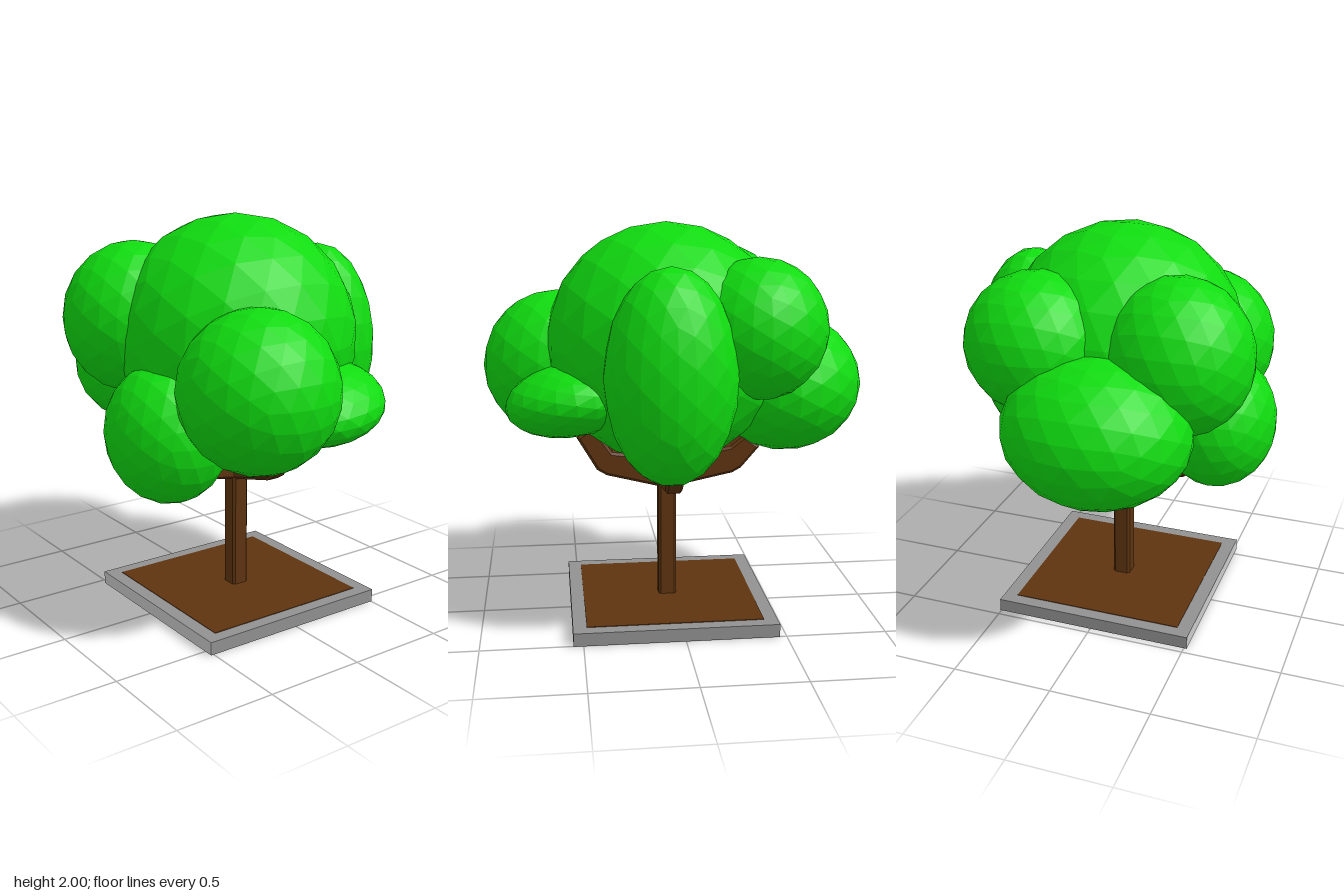
import * as THREE from 'three';

const material = (name, color, flatShading = false) => {
  const m = new THREE.MeshStandardMaterial({ color, flatShading });
  m.name = name;
  return m;
};

export function createModel() {
  const leafGreen = material('leaf green', 0x10dc10, true);
  const barkBrown = material('bark brown', 0x5e3410, true);
  const kerbGrey = material('kerb grey', 0x919191);
  const paleGrey = material('pale grey', 0xcbcbcb);

  const tree = new THREE.Group();
  tree.name = 'tree';
  const CX = 0.042, CZ = 0.005; // trunk axis

  const add = (name, geometry, mat, x, y, z, parent = tree) => {
    const mesh = new THREE.Mesh(geometry, mat);
    mesh.name = name;
    mesh.position.set(x, y, z);
    parent.add(mesh);
    return mesh;
  };

  // Square planter slab with a paler front face
  add('planterKerb', new THREE.BoxGeometry(1.015, 0.066, 1.02),
    [kerbGrey, kerbGrey, kerbGrey, kerbGrey, paleGrey, kerbGrey], CX, 0.033, CZ);
  add('soil', new THREE.BoxGeometry(0.88, 0.006, 0.88), barkBrown, CX, 0.066, CZ);

  // Square trunk with chamfered corners
  const h = 0.046, c = 0.034;
  const section = new THREE.Shape([[h, -c], [h, c], [c, h], [-c, h], [-h, c], [-h, -c], [-c, -h], [c, -h]]
    .map(([x, y]) => new THREE.Vector2(x, y)));
  const trunkGeometry = new THREE.ExtrudeGeometry(section, { depth: 0.74, bevelEnabled: false });
  trunkGeometry.rotateX(-Math.PI / 2);
  add('trunk', trunkGeometry, barkBrown, CX, 0.06, CZ);

  // Four branches: a side profile, extruded with bevelled edges and turned about the trunk
  const makeBranch = (points) => {
    const bevel = 0.013, depth = 0.06;
    const g = new THREE.ExtrudeGeometry(
      new THREE.Shape(points.map(([r, y]) => new THREE.Vector2(r, y))),
      { depth, bevelEnabled: true, bevelSegments: 1, bevelSize: bevel, bevelThickness: bevel, bevelOffset: -bevel });
    g.translate(0, 0, -depth / 2);
    return g;
  };
  const lowBranch = makeBranch([[0, 0.64], [0.05, 0.655], [0.34, 0.715], [0.385, 0.74], [0.48, 0.85],
    [0.40, 0.91], [0.33, 0.855], [0.13, 0.82], [0, 0.82]]);
  const backBranch = makeBranch([[0, 0.64], [0.05, 0.655], [0.33, 0.70], [0.36, 0.72], [0.47, 0.83],
    [0.40, 0.90], [0.30, 0.825], [0.14, 0.83], [0, 0.82]]);
  const highBranch = makeBranch([[0, 0.64], [0.05, 0.655], [0.31, 0.72], [0.36, 0.75], [0.46, 0.92],
    [0.38, 0.98], [0.28, 0.84], [0.13, 0.82], [0, 0.82]]);
  [['rightBranch', lowBranch, Math.PI], ['leftBranch', highBranch, 0],
    ['backBranch', backBranch, Math.PI / 2], ['frontBranch', backBranch, -Math.PI / 2]]
    .forEach(([name, geometry, turn]) => {
      add(name, geometry, barkBrown, CX, 0, CZ).rotation.y = turn;
    });

  // Leaf clumps: name, centre, radii, tilt about x and z
  const foliage = new THREE.Group();
  foliage.name = 'foliage';
  tree.add(foliage);
  const ball = new THREE.IcosahedronGeometry(1, 3);
  [
    ['crown', [0.042, 1.395, 0.01], [0.605, 0.605, 0.605]],
    ['leftClump', [0.585, 1.255, 0.272], [0.385, 0.387, 0.38]],
    ['rightClump', [-0.575, 1.175, 0.085], [0.398, 0.357, 0.458]],
    ['upperFrontClump', [-0.295, 1.48, 0.39], [0.348, 0.382, 0.362]],
    ['upperBackClump', [-0.375, 1.5, -0.285], [0.34, 0.345, 0.353]],
    ['lowFrontClump', [0.14, 0.995, 0.48], [0.33, 0.348, 0.297]],
    ['backClump', [0.07, 1.305, -0.49], [0.317, 0.517, 0.287]],
    ['flatClump', [0.51, 1.14, -0.1], [0.348, 0.185, 0.362], 0.1, -0.15],
  ].forEach(([name, centre, radii, tiltX = 0, tiltZ = 0]) => {
    const clump = add(name, ball, leafGreen, ...centre, foliage);
    clump.scale.set(...radii);
    clump.rotation.set(tiltX, 0, tiltZ);
  });

  return tree;
}
